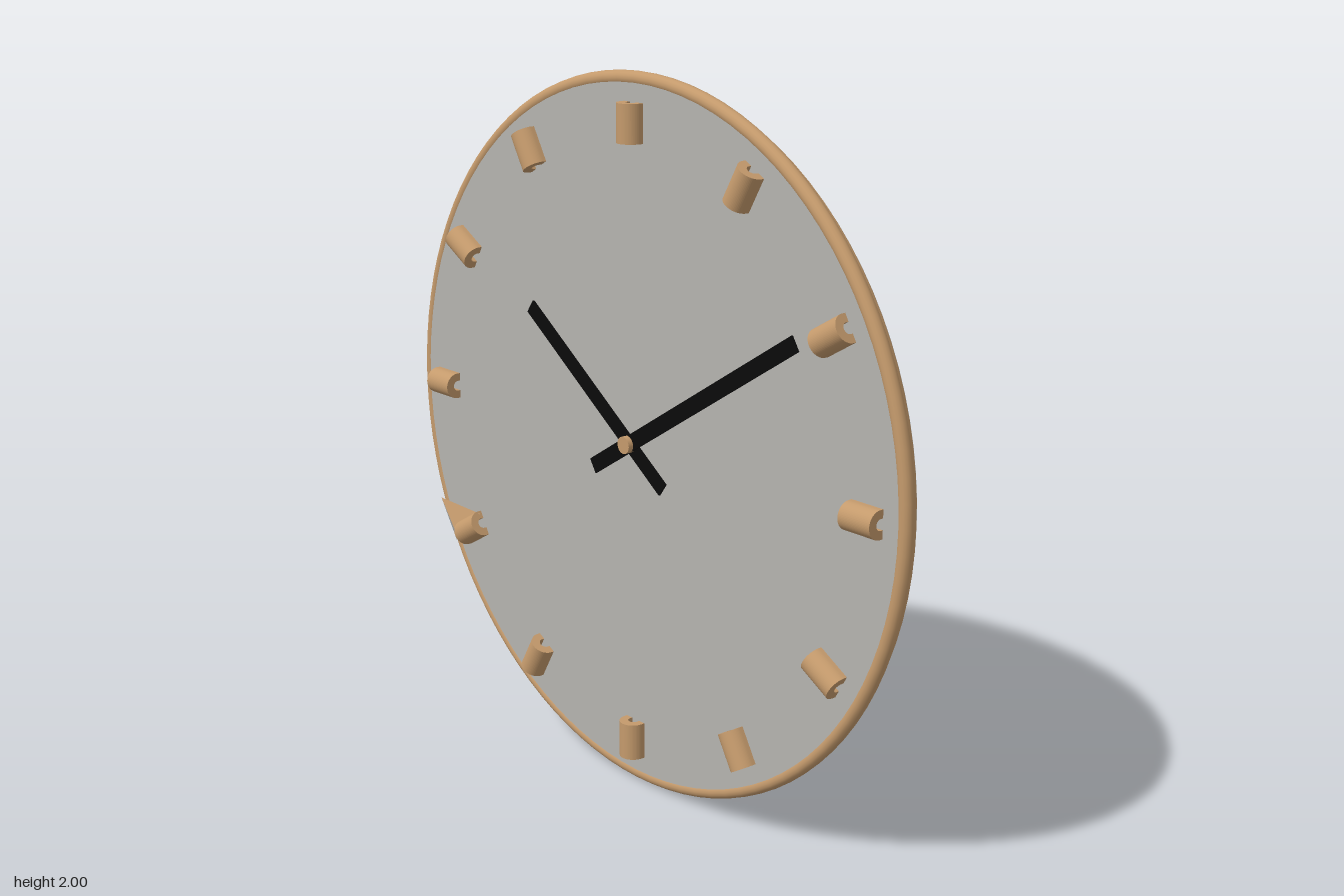
import * as THREE from 'three';

export function createModel() {
  const root = new THREE.Group();
  root.name = 'wallClock';
  const mat = (name, color, side = THREE.FrontSide) => {
    const m = new THREE.MeshStandardMaterial({ color, side });
    m.name = name;
    return m;
  };
  const wood = mat('wood', 0xc49a6c, THREE.DoubleSide);
  const grey = mat('grey', 0xb5b3af, THREE.DoubleSide);
  const black = mat('black', 0x0a0a0a);

  const clock = new THREE.Group();
  clock.name = 'clock';
  clock.position.y = 1;
  root.add(clock);
  const add = (name, geometry, material, x = 0, y = 0, z = 0) => {
    const mesh = new THREE.Mesh(geometry, material);
    mesh.name = name;
    mesh.position.set(x, y, z);
    clock.add(mesh);
    return mesh;
  };
  // Profile of [radius, z] pairs turned around the z axis
  const turned = (points) => new THREE.LatheGeometry(
    points.map(([r, z]) => new THREE.Vector2(r, z)), 96).rotateX(Math.PI / 2);

  // Case: dished side, flat back and dial
  add('caseSide', turned([[0.745, -0.102], [0.8, -0.079], [0.86, -0.048], [0.92, -0.011], [0.975, 0.03]]), grey);
  add('backPanel', new THREE.CircleGeometry(0.73, 96).rotateY(Math.PI), grey, 0, 0, -0.131);
  add('dial', new THREE.CircleGeometry(0.985, 96), grey, 0, 0, 0.089);

  // Wooden rings
  add('frontRim', new THREE.TorusGeometry(0.98, 0.02, 16, 96), wood, 0, 0, 0.072);
  add('rimStep', turned([[0.95, 0.03], [0.972, 0.03], [0.98, 0.036], [0.981, 0.055]]), wood);
  add('backRing', new THREE.TorusGeometry(0.733, 0.02, 16, 96), wood, 0, 0, -0.117);

  // Hour markers: arched blocks with a hollow channel underneath
  const arch = new THREE.Shape();
  arch.moveTo(0.038, 0);
  arch.lineTo(0.038, 0.01);
  arch.absarc(0, 0.01, 0.038, 0, Math.PI, false);
  arch.lineTo(-0.038, 0);
  arch.lineTo(-0.015, 0);
  arch.absarc(0, 0.008, 0.015, Math.PI, 0, true);
  arch.lineTo(0.015, 0);
  const markerGeometry = new THREE.ExtrudeGeometry(arch, { depth: 0.105, bevelEnabled: false, curveSegments: 16 });
  markerGeometry.translate(0, 0, -0.0525).rotateX(Math.PI / 2).scale(1, 1, 1);
  for (let i = 0; i < 12; i++) {
    const a = (i * Math.PI) / 6;
    const marker = add('hourMarker', markerGeometry, wood, Math.sin(a) * 0.868, Math.cos(a) * 0.868, 0.089);
    marker.rotation.z = -a;
  }

  // Folded chip by the eighth marker
  const facet = (name, material, a, b, c) => {
    const g = new THREE.BufferGeometry();
    g.setAttribute('position', new THREE.Float32BufferAttribute([...a, ...b, ...c], 3));
    g.computeVertexNormals();
    add(name, g, material);
  };
  facet('chipTop', wood, [-0.925, -0.38, 0.095], [-0.8, -0.47, 0.125], [-0.715, -0.38, 0.1]);
  facet('chipSide', grey, [-0.925, -0.38, 0.095], [-0.85, -0.5, 0.094], [-0.8, -0.47, 0.125]);

  // Hands run from a short tail through the hub to the tip
  const hand = (name, tail, tip, z) => {
    const dx = tip[0] - tail[0], dy = tip[1] - tail[1];
    const mesh = add(name, new THREE.BoxGeometry(Math.hypot(dx, dy), 0.044, 0.006), black,
      (tip[0] + tail[0]) / 2, (tip[1] + tail[1]) / 2, z);
    mesh.rotation.z = Math.atan2(dy, dx);
  };
  hand('minuteHand', [-0.15, -0.095], [0.635, 0.395], 0.112);
  hand('hourHand', [0.135, -0.1], [-0.435, 0.31], 0.105);

  // Hub pin
  add('hub', new THREE.CylinderGeometry(0.024, 0.024, 0.042, 24).rotateX(Math.PI / 2), wood, 0, 0, 0.109);

  return root;
}
